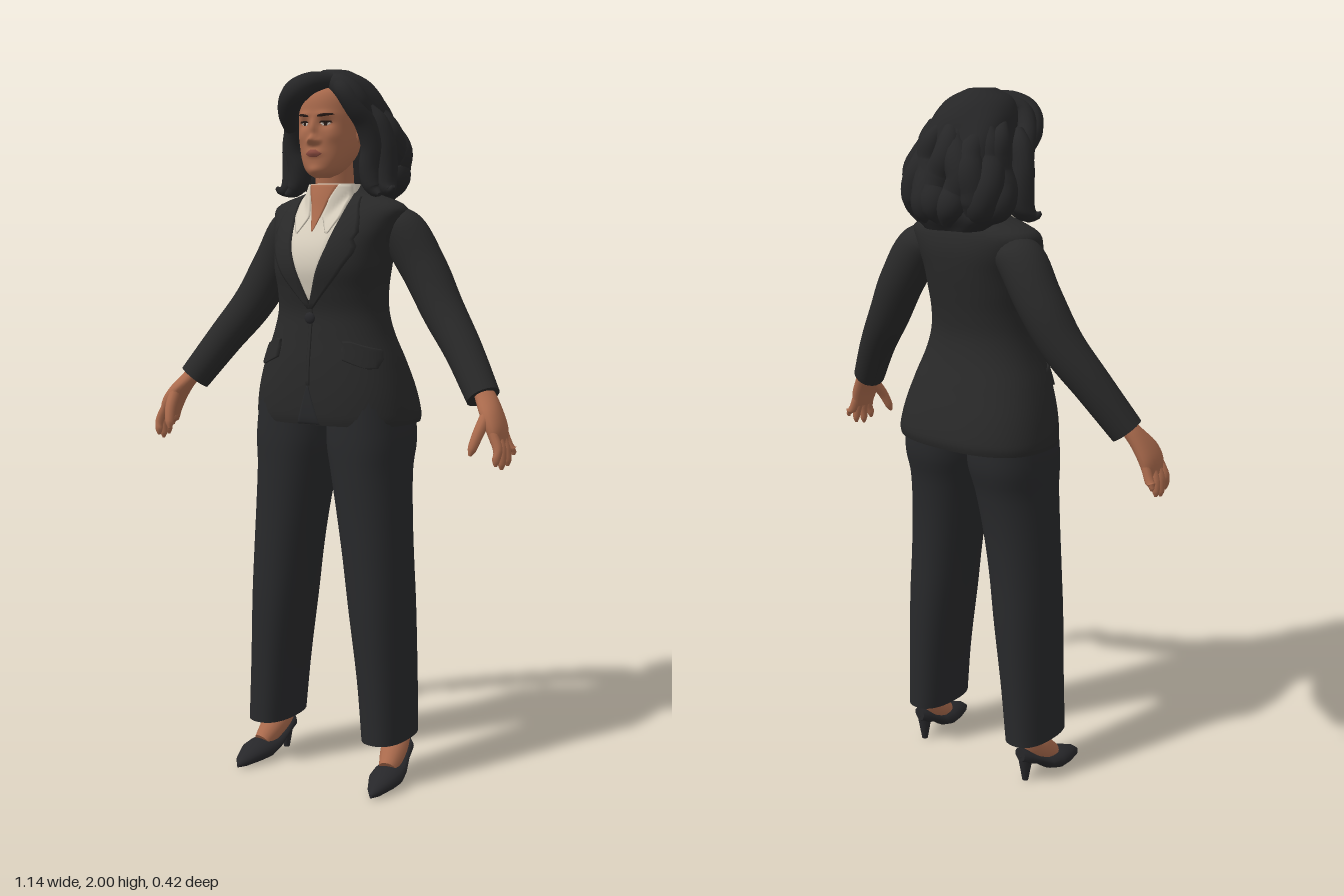
import * as THREE from 'three';

const mat = (name, color) => Object.assign(
  new THREE.MeshStandardMaterial({ color, side: THREE.DoubleSide }), { name });
const V = (x, y, z) => new THREE.Vector3(x, y, z);

// smooth interpolation of rows keyed by their first number
function at(rows, y) {
  const n = rows.length;
  let i = 0;
  while (i < n - 2 && y > rows[i + 1][0]) i++;
  const a = rows[i], b = rows[i + 1], h = b[0] - a[0];
  const t = THREE.MathUtils.clamp((y - a[0]) / h, 0, 1);
  const slope = (k, c) => {
    const p = rows[Math.max(k - 1, 0)], q = rows[Math.min(k + 1, n - 1)];
    return (q[c] - p[c]) / (q[0] - p[0]);
  };
  return a.map((_, c) => c === 0 ? y :
    a[c] * (2 * t ** 3 - 3 * t * t + 1) + b[c] * (3 * t * t - 2 * t ** 3) +
    slope(i, c) * h * (t ** 3 - 2 * t * t + t) + slope(i + 1, c) * h * (t ** 3 - t * t));
}

// closed skin over rings of points, with flat end caps
function skin(rings) {
  const n = rings[0].length, pos = [], idx = [];
  const add = p => pos.push(p.x, p.y, p.z) / 3 - 1;
  rings.forEach(r => r.forEach(add));
  for (let i = 0; i < rings.length - 1; i++) for (let j = 0; j < n; j++) {
    const a = i * n + j, b = i * n + (j + 1) % n;
    idx.push(a, a + n, b, b, a + n, b + n);
  }
  [rings[0], rings[rings.length - 1]].forEach((r, end) => {
    const c = add(r.reduce((s, p) => s.add(p), V(0, 0, 0)).divideScalar(n));
    const k = r.map(add);
    k.forEach((a, j) => end ? idx.push(c, k[(j + 1) % n], a) : idx.push(c, a, k[(j + 1) % n]));
  });
  return geometry(pos, idx);
}
function geometry(pos, idx) {
  const g = new THREE.BufferGeometry();
  g.setAttribute('position', new THREE.Float32BufferAttribute(pos, 3));
  g.setIndex(idx);
  g.computeVertexNormals();
  return g;
}

// horizontal superellipse sections: [y, centreX, halfWidth, zFront, zBack, power]
function loft(rows, steps = 40, n = 40, rule = p => p) {
  const y0 = rows[0][0], y1 = rows[rows.length - 1][0], rings = [];
  for (let i = 0; i <= steps; i++) {
    const y = y0 + (y1 - y0) * i / steps, [, cx, rx, zf, zb, e] = at(rows, y), ring = [];
    for (let j = 0; j < n; j++) {
      const t = j / n * Math.PI * 2, c = Math.cos(t), s = Math.sin(t);
      const pw = v => Math.sign(v) * Math.abs(v) ** (2 / e);
      ring.push(rule(V(cx + rx * pw(c), y, (zf + zb) / 2 + (zf - zb) / 2 * pw(s)), t));
    }
    rings.push(ring);
  }
  return skin(rings);
}
const frontOf = rows => (x, y) => {
  const [, cx, rx, zf, zb, e] = at(rows, y);
  return (zf + zb) / 2 + (zf - zb) / 2 * Math.max(0, 1 - Math.abs((x - cx) / rx) ** e) ** (1 / e);
};

// tapered tube through [x, y, z, radius]
function tube(pts, steps = 20, n = 12) {
  const curve = new THREE.CatmullRomCurve3(pts.map(p => V(p[0], p[1], p[2])));
  const radii = pts.map((p, i) => [i, p[3]]);
  const f = curve.computeFrenetFrames(steps, false), rings = [];
  for (let i = 0; i <= steps; i++) {
    const u = i / steps, c = curve.getPoint(u), r = at(radii, u * (pts.length - 1))[1];
    rings.push(Array.from({ length: n }, (_, j) => {
      const t = j / n * Math.PI * 2;
      return c.clone().addScaledVector(f.normals[i], r * Math.cos(t))
        .addScaledVector(f.binormals[i], -r * Math.sin(t));
    }));
  }
  return skin(rings);
}

// thin plate hugging a front surface; rows are [y, xLeft, xRight], rising
function plate(surface, rows, off = 0.007, nx = 8, ny = 16) {
  const pos = [], idx = [], w = nx + 3, lim = (v, m) => Math.min(Math.max(v, 0), m) / m;
  for (let j = 0; j <= ny + 2; j++) for (let i = 0; i <= nx + 2; i++) {
    const v = lim(j - 1, ny), y = rows[0][0] + (rows[rows.length - 1][0] - rows[0][0]) * v;
    let k = 0;
    while (k < rows.length - 2 && y > rows[k + 1][0]) k++;
    const [a, b] = [rows[k], rows[k + 1]], t = (y - a[0]) / (b[0] - a[0]);
    const x = THREE.MathUtils.lerp(a[1] + (b[1] - a[1]) * t, a[2] + (b[2] - a[2]) * t, lim(i - 1, nx));
    const edge = i === 0 || j === 0 || i === nx + 2 || j === ny + 2;
    pos.push(x, y, surface(x, y) + (edge ? -0.002 : off));
    if (i < nx + 2 && j < ny + 2) {
      const q = j * w + i;
      idx.push(q, q + 1, q + w, q + 1, q + w + 1, q + w);
    }
  }
  return geometry(pos, idx);
}

function mirrored(geo) {
  const g = geo.clone().applyMatrix4(new THREE.Matrix4().makeScale(-1, 1, 1));
  const a = g.index.array;
  for (let i = 0; i < a.length; i += 3) [a[i], a[i + 1]] = [a[i + 1], a[i]];
  return g;
}

export function createModel() {
  const root = new THREE.Group();
  const jacket = mat('jacketCloth', 0x292929), cloth = mat('trouserCloth', 0x28292b);
  const hair = mat('hairBlack', 0x262627), shoeMat = mat('shoeLeather', 0x27272a);
  const skinMat = mat('skinTone', 0xab6b4d), shirt = mat('shirtCream', 0xd8cfbe);
  const lip = mat('lipColor', 0x8c4c40), dark = mat('browDark', 0x2c1d18), white = mat('eyeWhite', 0xcfc4b8);
  const one = (name, geo, m) => {
    const mesh = new THREE.Mesh(geo, m);
    mesh.name = name;
    root.add(mesh);
  };
  const pair = (name, geo, m) => { one(name + 'Left', geo, m); one(name + 'Right', mirrored(geo), m); };

  // jacket body
  const torso = [[1.03, 0, .238, .165, -.165, 2.5], [1.05, 0, .24, .17, -.17, 2.5], [1.12, 0, .228, .172, -.155, 2.5],
    [1.2, 0, .205, .168, -.13, 2.4], [1.28, 0, .175, .158, -.105, 2.3], [1.34, 0, .16, .152, -.095, 2.3],
    [1.4, 0, .158, .163, -.1, 2.3], [1.46, 0, .163, .174, -.11, 2.4], [1.52, 0, .17, .163, -.12, 2.4],
    [1.58, 0, .19, .128, -.125, 2.4], [1.625, 0, .2, .092, -.118, 2.3], [1.645, 0, .165, .076, -.108, 2.2],
    [1.665, 0, .105, .058, -.09, 2.1], [1.69, 0, .07, .035, -.06, 2]];
  const chest = frontOf(torso);
  one('jacketBody', loft(torso, 60, 56), jacket);
  one('jacketOpening', plate(chest, [[1.032, -.035, .035], [1.14, -.002, .002]], .002), cloth);
  one('jacketSeam', plate(chest, [[1.14, -.003, .006], [1.36, -.003, .006]], .004), jacket);

  // shirt, open neck, collar, lapels, pockets
  const band = [[1.54, 0, .066, .153, -.03, 2], [1.58, 0, .074, .131, -.05, 2], [1.62, 0, .078, .112, -.06, 2],
    [1.66, 0, .078, .098, -.06, 2], [1.69, 0, .071, .086, -.055, 2]];
  const bandFront = frontOf(band), neckline = (x, y) => Math.max(chest(x, y), bandFront(x, y));
  one('shirtFront', plate(neckline, [[1.375, -.003, .003], [1.5, -.052, .052], [1.6, -.072, .072], [1.64, -.07, .07]], .004), shirt);
  one('collarBand', loft(band, 16, 40), shirt);
  one('openNeck', plate(neckline, [[1.56, -.002, .002], [1.64, -.026, .026], [1.688, -.046, .046]], .006), skinMat);
  pair('shirtCollar', plate(neckline, [[1.555, .045, .05], [1.6, .02, .072], [1.65, .03, .076], [1.688, .046, .068]], .009), shirt);
  pair('lapel', plate(chest, [[1.35, -.004, .006], [1.44, .027, .085], [1.515, .055, .132], [1.545, .062, .118],
    [1.55, .063, .132], [1.6, .074, .122], [1.655, .082, .1]], .009), jacket);
  pair('pocketFlap', plate(chest, [[1.19, .165, .185], [1.213, .105, .19], [1.24, .1, .183], [1.264, .1, .115]], .0095), jacket);
  one('button', new THREE.SphereGeometry(.016, 16, 10).scale(1, 1, .5).translate(0, 1.325, .158), shoeMat);

  // sleeves
  pair('sleeve', tube([[.11, 1.595, -.03, .045], [.168, 1.572, -.038, .066], [.245, 1.46, -.045, .065], [.313, 1.348, -.03, .06],
    [.393, 1.242, .003, .053], [.474, 1.125, .047, .047]], 32, 24), jacket);

  // hands
  pair('palm', loft([[1.01, .54, .016, .122, .042, 2.3], [1.05, .53, .024, .128, .034, 2.3], [1.09, .51, .028, .118, .028, 2.2],
    [1.13, .483, .03, .085, .02, 2], [1.15, .468, .028, .072, .018, 2]], 14, 20), skinMat);
  [[.05, .042, .975], [.074, .07, .95], [.096, .1, .943], [.115, .128, .955]].forEach(([z0, z1, y], i) =>
    pair('finger' + (i + 1), tube([[.534, 1.04, z0, .013], [.553, .995, (z0 + z1) / 2, .013],
      [.562 - i * .004, y + .015, z1, .0105], [.562 - i * .004, y, z1, .004]], 12, 10), skinMat));
  pair('thumb', tube([[.51, 1.085, .1, .017], [.502, 1.04, .135, .015], [.493, 1.0, .152, .012], [.489, .982, .157, .004]], 12, 10), skinMat);

  // trousers
  pair('trouserLeg', loft([[.13, .191, .064, .145, -.075, 2.4], [.3, .18, .072, .145, -.08, 2.3], [.5, .163, .083, .15, -.085, 2.3],
    [.65, .149, .092, .15, -.085, 2.2], [.78, .135, .1, .15, -.09, 2.2], [.9, .122, .109, .153, -.105, 2.2],
    [.98, .117, .117, .155, -.125, 2.3], [1.1, .113, .11, .15, -.125, 2.3]], 40, 36), cloth);

  // feet and heeled shoes; shoe sections are [z, centreX, halfWidth, yLow, yHigh]
  pair('foot', tube([[.195, .2, 0, .036], [.197, .12, .003, .038], [.206, .082, .045, .037], [.213, .05, .09, .026]], 16, 16), skinMat);
  const shoe = [[.205, .223, .004, .004, .016], [.18, .222, .023, 0, .036], [.13, .218, .043, 0, .056], [.09, .215, .048, 0, .06],
    [.05, .211, .043, .014, .06], [.01, .204, .037, .044, .076], [-.03, .2, .034, .058, .106], [-.047, .199, .016, .07, .112]];
  pair('shoe', skin(shoe.map(([z, cx, w, lo, hi]) => Array.from({ length: 20 }, (_, j) => {
    const t = j / 20 * Math.PI * 2;
    return V(cx + w * Math.cos(t), (lo + hi) / 2 + (hi - lo) / 2 * Math.sin(t), z);
  }))), shoeMat);
  pair('heel', new THREE.CylinderGeometry(.024, .009, .085, 14).translate(.2, .0425, -.024), shoeMat);

  // neck and head, with features raised by smooth bumps
  one('neck', loft([[1.6, 0, .062, .075, -.05, 2], [1.68, 0, .054, .08, -.035, 2], [1.76, 0, .052, .085, -.03, 2]], 10, 28), skinMat);
  const headRows = [[1.705, 0, .018, .115, .06, 2], [1.717, 0, .042, .128, .03, 2.1], [1.74, 0, .06, .134, 0, 2.2],
    [1.78, 0, .076, .136, -.04, 2.2], [1.83, 0, .083, .137, -.06, 2.2], [1.88, 0, .083, .138, -.065, 2.2],
    [1.93, 0, .074, .128, -.05, 2.1], [1.965, 0, .045, .09, 0, 2]];
  const bumps = [[0, 1.806, .011, .011, .023], [0, 1.835, .009, .024, .013], [.014, 1.802, .007, .007, .008],
    [.034, 1.849, .018, .012, -.009], [.03, 1.874, .022, .008, .004], [0, 1.771, .022, .01, .007],
    [0, 1.725, .02, .012, .005], [.05, 1.815, .018, .018, .004]];
  const relief = (x, y) => bumps.reduce((s, [bx, by, sx, sy, h]) =>
    s + h * Math.exp(-(((Math.abs(x) - bx) / sx) ** 2) - ((y - by) / sy) ** 2), 0);
  one('head', loft(headRows, 80, 96, (p, t) => {
    if (Math.sin(t) > 0) p.z += relief(p.x, p.y) * Math.min(1, Math.sin(t) * 2);
    return p;
  }), skinMat);
  const headFront = frontOf(headRows), face = (x, y) => headFront(x, y) + relief(x, y);
  pair('eye', plate(face, [[1.844, .026, .036], [1.849, .02, .046], [1.854, .026, .04]], .003, 6, 6), white);
  pair('iris', plate(face, [[1.844, .03, .036], [1.849, .028, .038], [1.854, .03, .036]], .0045, 4, 4), dark);
  pair('upperLid', plate(face, [[1.852, .018, .05], [1.857, .024, .046]], .0045, 6, 3), dark);
  pair('eyebrow', plate(face, [[1.867, .014, .024], [1.872, .016, .056], [1.876, .034, .052]], .003, 6, 5), dark);
  one('lips', plate(face, [[1.76, -.01, .01], [1.769, -.026, .026], [1.78, -.008, .008]], .002, 8, 8), lip);
  pair('ear', new THREE.SphereGeometry(.02, 14, 10).scale(.4, 1.3, .8).translate(.084, 1.825, .03), skinMat);

  // hair volume, smooth at the crown and wavy lower down
  const mane = [[1.64, 0, .1, -.04, -.17, 2], [1.68, 0, .147, -.01, -.187, 2.2], [1.74, 0, .152, .01, -.175, 2.2],
    [1.8, 0, .146, .025, -.165, 2.2], [1.86, 0, .132, .045, -.152, 2.2], [1.9, 0, .122, .075, -.138, 2.2],
    [1.94, 0, .106, .1, -.118, 2.1], [1.975, 0, .078, .1, -.085, 2], [1.998, 0, .035, .06, -.03, 2]];
  one('hairVolume', loft(mane, 48, 72, (p, t) => {
    const k = 1 + .03 * Math.sin(5 * t + 24 * p.y) * Math.min(1, (2 - p.y) * 8);
    return V(p.x * k, p.y, p.z * k);
  }), hair);

  // broad soft waves around the sides and back
  for (let k = 0; k < 9; k++) {
    const base = Math.PI * (1 + k / 8), pts = [];
    for (let i = 0; i < 7; i++) {
      const y = 1.915 - i * .042 - (k % 2) * .008, [, , rx, zf, zb] = at(mane, y);
      const a = base + .14 * Math.sin(i * 1.25 + k * 2.3), out = .84 + .07 * Math.sin(i * 1.7 + k * 1.3);
      pts.push([rx * out * Math.cos(a), y, (zf + zb) / 2 + (zf - zb) / 2 * out * Math.sin(a),
        [.015, .032, .04, .045, .046, .042, .014][i]]);
    }
    one('hairWave' + (k + 1), tube(pts, 28, 16), hair);
  }

  // swept fringe and curls framing the face
  const sweep = [[.045, 1.957, .085, .022], [.072, 1.938, .1, .026], [.097, 1.895, .085, .028], [.114, 1.85, .052, .03],
    [.123, 1.79, .03, .032], [.115, 1.73, .022, .034], [.125, 1.68, .025, .027], [.152, 1.66, .04, .006]];
  pair('faceLock', tube(sweep, 36, 14), hair);
  one('fringe', tube([[.03, 1.965, .085, .022], [-.012, 1.957, .128, .03], [-.052, 1.932, .145, .035], [-.092, 1.89, .115, .031],
    [-.115, 1.85, .065, .024], [-.13, 1.81, .03, .006]], 28, 14), hair);
  one('crownSweep', tube([[.02, 1.962, .08, .022], [.06, 1.948, .085, .034], [.098, 1.905, .07, .034], [.125, 1.85, .04, .01]], 20, 14), hair);
  pair('outerCurl', tube([[.11, 1.895, .03, .015], [.13, 1.855, .015, .03], [.147, 1.8, .005, .032], [.147, 1.74, 0, .035],
    [.15, 1.69, .005, .033], [.172, 1.668, .02, .018], [.19, 1.682, .03, .005]], 28, 12), hair);
  return root;
}
